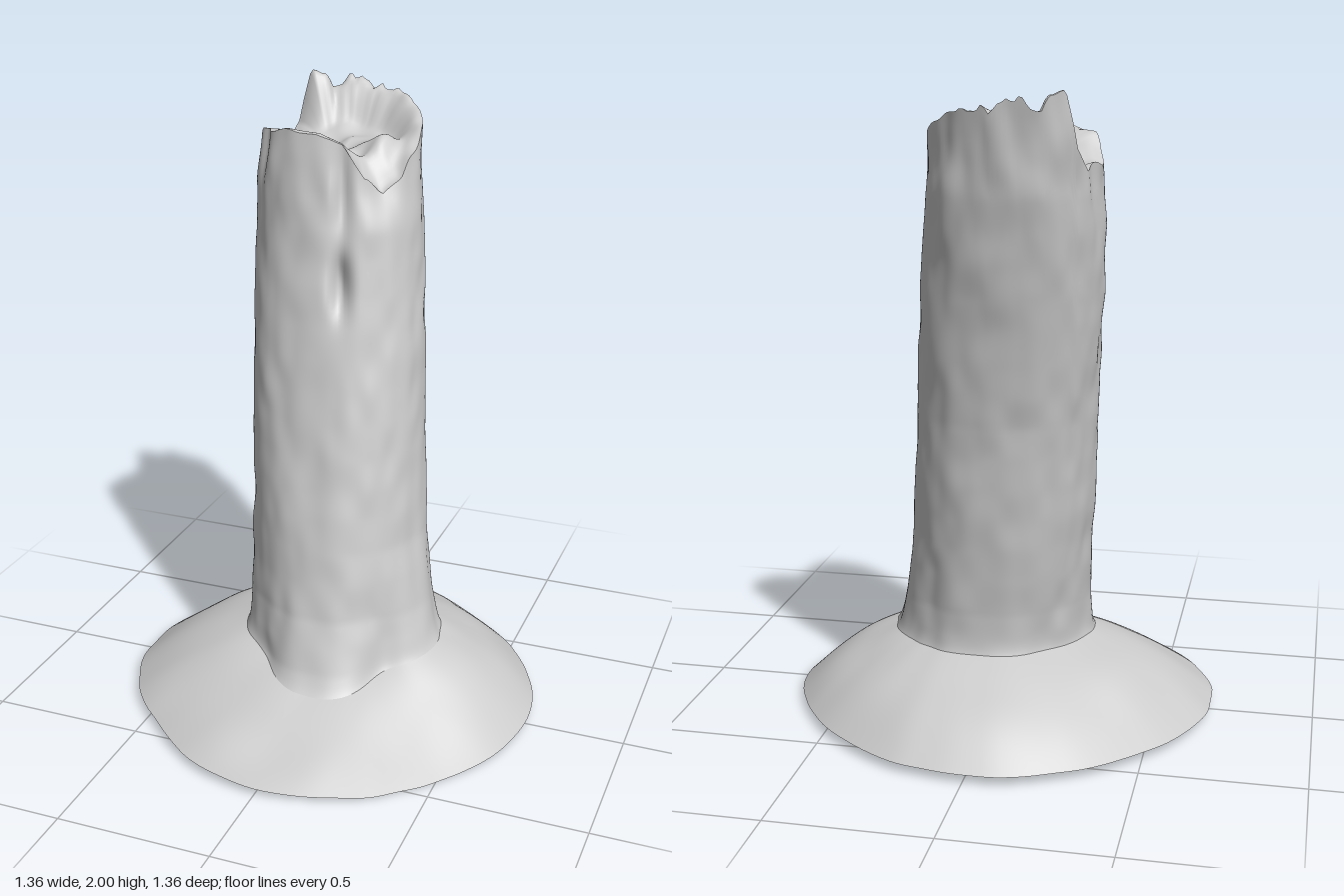
import * as THREE from 'three';

const N = 144; // steps around the trunk
const { sin, cos, abs, sign, pow, exp, PI } = Math;
const { lerp, smoothstep, clamp } = THREE.MathUtils;
const rad = (d) => (d * PI) / 180;

// Trunk extents: height, min x, max x, min z, max z
const SECTIONS = [
  [0.12, -0.28, 0.38, -0.30, 0.36],
  [0.22, -0.275, 0.36, -0.30, 0.31],
  [0.38, -0.275, 0.32, -0.305, 0.25],
  [0.60, -0.285, 0.28, -0.33, 0.20],
  [1.00, -0.31, 0.25, -0.375, 0.11],
  [1.40, -0.335, 0.218, -0.445, 0.025],
  [1.70, -0.338, 0.185, -0.505, -0.03],
  [2.00, -0.325, 0.16, -0.55, -0.075],
];

// Height of the broken rim, by angle from +x towards +z
const RIM = [
  [0, 1.83], [20, 1.75], [38, 1.71], [55, 1.74], [72, 1.85], [90, 1.885], [120, 1.885],
  [150, 1.86], [175, 1.79], [205, 1.77], [218, 1.84], [223, 2.0], [236, 1.99], [243, 1.94],
  [258, 1.965], [280, 1.95], [310, 1.92], [335, 1.89], [360, 1.83],
];

function table(rows, key, col) {
  let i = 0;
  while (i < rows.length - 2 && key > rows[i + 1][0]) i++;
  const a = rows[i], b = rows[i + 1];
  return lerp(a[col], b[col], clamp((key - a[0]) / (b[0] - a[0]), 0, 1));
}

// Smooth seeded value noise
function hash(x, y, z) {
  const s = sin(x * 127.1 + y * 311.7 + z * 74.7) * 43758.5453;
  return (s - Math.floor(s)) * 2 - 1;
}
function noise(x, y, z) {
  const f = [x, y, z].map(Math.floor);
  const u = [x - f[0], y - f[1], z - f[2]].map((t) => t * t * (3 - 2 * t));
  let sum = 0;
  for (let c = 0; c < 8; c++) {
    const b = [c & 1, (c >> 1) & 1, c >> 2];
    const w = b.reduce((p, k, i) => p * (k ? u[i] : 1 - u[i]), 1);
    sum += w * hash(f[0] + b[0], f[1] + b[1], f[2] + b[2]);
  }
  return sum;
}

// Angular bump centred on a given degree
function bump(th, deg, width) {
  const d = th - rad(deg);
  return exp(-pow(Math.atan2(sin(d), cos(d)) / rad(width), 2));
}

const smoothRimY = (th) => table(RIM, th / rad(1), 1);
const rimY = (th) => Math.min(2, smoothRimY(th) + 0.014 * noise(cos(th) * 5, 5, sin(th) * 5)
  + 0.02 * bump(th, 265, 30) * noise(cos(th) * 12, 8, sin(th) * 12));
const baseY = (th) => 0.25 - 0.09 * bump(th, 85, 50);

// Point on the bark at one angle and height
function barkPoint(th, y) {
  const [x0, x1, z0, z1] = [1, 2, 3, 4].map((c) => table(SECTIONS, y, c));
  const c = cos(th), s = sin(th);
  const square = (v) => sign(v) * pow(abs(v), 0.93);
  // fillet into the earth
  let k = 1 + 0.03 * exp(-(y - baseY(th)) / 0.025);
  // root hollows between the buttresses
  const low = exp(-pow(y / 0.42, 2));
  k -= low * (0.27 * bump(th, 46, 20) + 0.12 * bump(th, 130, 20)
    + 0.1 * bump(th, 222, 28) + 0.08 * bump(th, 312, 22));
  // knot hole with a split above it
  k -= 0.24 * bump(th, 73, 6) * exp(-pow((y - 1.43) / 0.085, 2));
  k -= 0.13 * bump(th, 71, 6) * exp(-pow((y - 1.7) / 0.14, 2));
  // rounded shoulder under the break and shorter splits near the top
  k -= 0.14 * bump(th, 42, 22) * smoothstep(y, 1.58, 1.78);
  const high = smoothstep(y, 1.45, 1.8);
  k -= high * (0.07 * bump(th, 142, 6) + 0.05 * bump(th, 195, 8));
  // bark unevenness
  k += 0.015 * noise(c * 3, y * 4, s * 3) + 0.018 * noise(c * 5, y * 10, s * 5 + 9);
  k += high * 0.035 * noise(c * 5 + 4, y * 7, s * 5);
  return new THREE.Vector3(
    (x0 + x1) / 2 + ((x1 - x0) / 2) * square(c) * k, y,
    (z0 + z1) / 2 + ((z1 - z0) / 2) * square(s) * k);
}

// Closed loft: rings run upward (or inward), point(th, t) gives each vertex
function loft(name, rings, point) {
  const pos = [], idx = [];
  for (let r = 0; r <= rings; r++)
    for (let i = 0; i < N; i++) pos.push(...point((i / N) * 2 * PI, r / rings).toArray());
  for (let r = 0; r < rings; r++)
    for (let i = 0; i < N; i++) {
      const a = r * N + i, b = r * N + ((i + 1) % N);
      idx.push(a, a + N, b, b, a + N, b + N);
    }
  const g = new THREE.BufferGeometry();
  g.setAttribute('position', new THREE.Float32BufferAttribute(pos, 3));
  g.setIndex(idx);
  g.computeVertexNormals();
  const mesh = new THREE.Mesh(g, new THREE.MeshStandardMaterial({ color: 0xcccccc, side: THREE.DoubleSide }));
  mesh.name = name;
  return mesh;
}

export function createModel() {
  const group = new THREE.Group();
  group.name = 'brokenTreeTrunk';

  // Leaning trunk, hollow from below, with rings packed closer at the base
  group.add(loft('trunk', 120, (th, t) => barkPoint(th, lerp(baseY(th), rimY(th), pow(t, 1.15)))));

  // Mound of earth around the roots, open underneath
  group.add(loft('groundMound', 20, (th, t) => {
    const inner = barkPoint(th, baseY(th));
    const r = 0.667 + 0.013 * cos(4 * th) - 0.012 * bump(th, 135, 25)
      + 0.007 * noise(cos(th) * 6, 2, sin(th) * 6);
    const outer = new THREE.Vector3(r * cos(th), 0.03 - 0.03 * bump(th, 45, 40), r * sin(th));
    const p = outer.clone().lerp(inner, t);
    p.y += sin(PI * t) * (0.026 - 0.026 * bump(th, 85, 50) + 0.012 * noise(p.x * 5, 3, p.z * 5));
    return p;
  }));

  // Splintered break: shallow floor, ledges at the front and back, slope down to the shoulder
  const mound = (p, x, z, rx, rz) => exp(-pow((p.x - x) / rx, 2) - pow((p.z - z) / rz, 2));
  group.add(loft('brokenTop', 28, (th, t) => {
    const rim = barkPoint(th, rimY(th));
    const p = rim.clone().lerp(new THREE.Vector3(-0.08, rim.y, -0.32), t);
    const floor = 1.795 + 0.07 * mound(p, -0.17, -0.14, 0.13, 0.08)
      + 0.08 * mound(p, -0.1, -0.52, 0.18, 0.09)
      + 0.04 * mound(p, 0.07, -0.27, 0.06, 0.07) + 0.022 * noise(p.x * 14, 1, p.z * 14);
    const edge = lerp(rim.y, smoothRimY(th), smoothstep(t, 0, 0.15));
    p.y = lerp(edge, floor, smoothstep(t, 0.02, 0.45));
    return p;
  }));

  return group;
}
